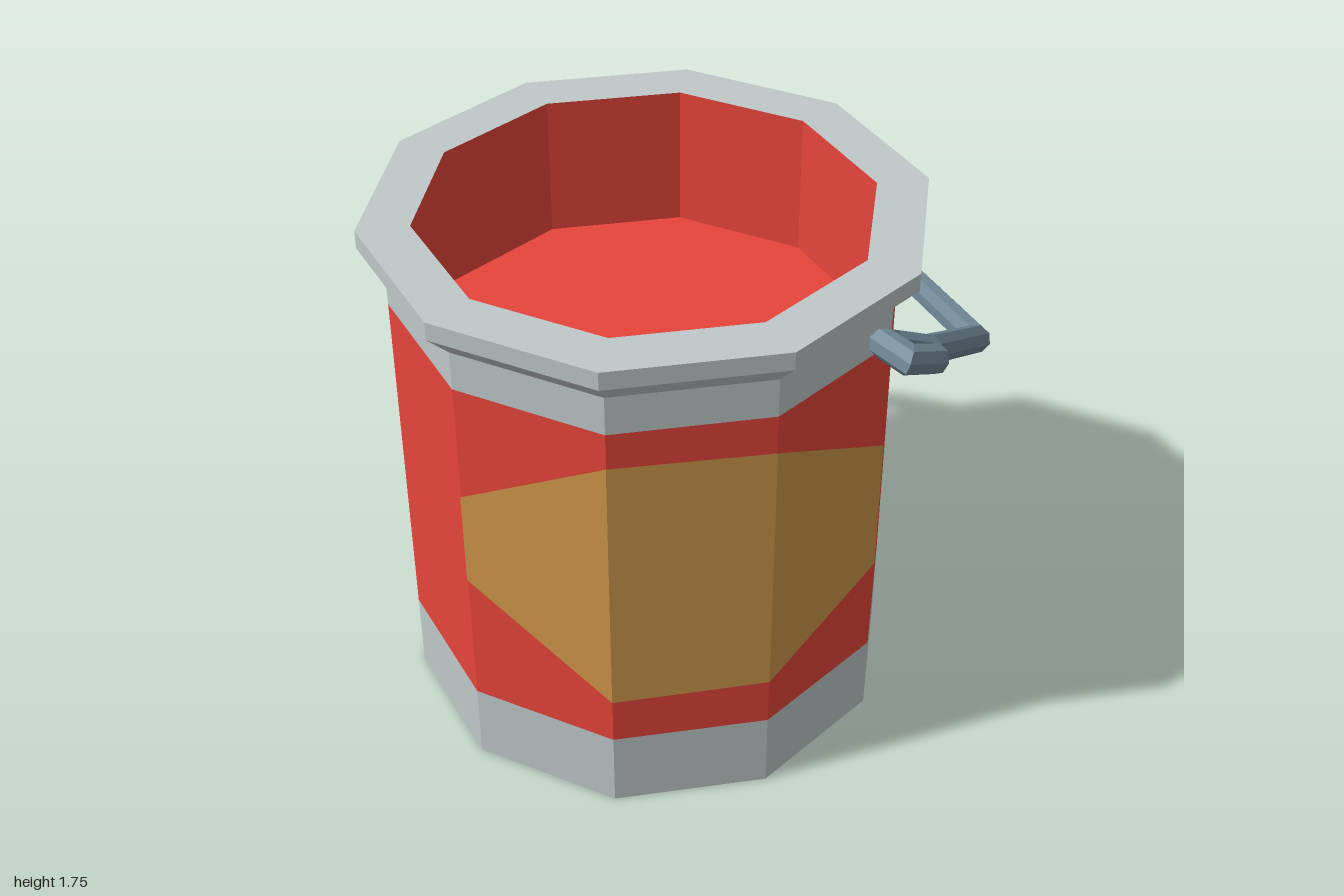
import * as THREE from 'three';

const SIDES = 10;
const FIRST_ANGLE = THREE.MathUtils.degToRad(-2.4); // direction of corner 0, from +x towards +z
const WALL = 0.803, RIM = 0.88, INNER = 0.715;

const paint = (color) => new THREE.MeshStandardMaterial({ color, flatShading: true });
const metal = paint(0xc0c8ca);
const red = paint(0xe6453a);
const gold = paint(0xd0984a);
const teal = paint(0x10b5cb);
const steel = paint(0x708896);

function addMesh(parent, name, geometry, material) {
  const mesh = new THREE.Mesh(geometry, material);
  mesh.name = name;
  parent.add(mesh);
}

// Ten-sided turned part from [radius, height] pairs
function turned(profile) {
  const points = profile.map(([r, y]) => new THREE.Vector2(r, y));
  return new THREE.LatheGeometry(points, SIDES, Math.PI / 2 - FIRST_ANGLE);
}

// Patch lying on the wall; one [bottom, top] pair per wall corner
function wallPatch(firstCorner, heights) {
  const r = WALL + 0.003, positions = [], index = [];
  heights.forEach(([bottom, top], i) => {
    const a = FIRST_ANGLE + (firstCorner + i) * Math.PI * 2 / SIDES;
    const x = r * Math.cos(a), z = r * Math.sin(a);
    positions.push(x, bottom, z, x, top, z);
    if (i > 0) {
      const k = 2 * i - 2;
      index.push(k, k + 1, k + 2, k + 1, k + 3, k + 2);
    }
  });
  return facetted(positions, index);
}

function facetted(positions, index) {
  const geometry = new THREE.BufferGeometry();
  geometry.setAttribute('position', new THREE.Float32BufferAttribute(positions, 3));
  geometry.setIndex(index);
  const flat = geometry.toNonIndexed();
  flat.computeVertexNormals();
  return flat;
}

// Straight rod segments with mitred bends and capped ends
function bentRod(path, radius, sides) {
  const pts = path.map((p) => new THREE.Vector3(...p));
  const dirs = pts.slice(1).map((p, i) => p.clone().sub(pts[i]).normalize());
  const u = new THREE.Vector3(0, 1, 0).cross(dirs[0]).normalize();
  const v = dirs[0].clone().cross(u);
  const positions = [], index = [];
  let ring = [];
  for (let j = 0; j < sides; j++) {
    const a = (j / sides) * Math.PI * 2;
    ring.push(pts[0].clone().addScaledVector(u, radius * Math.cos(a)).addScaledVector(v, radius * Math.sin(a)));
  }
  pts.forEach((p, i) => {
    if (i > 0) {
      // slide the previous ring along the segment to the mitre plane
      const dir = dirs[i - 1];
      const normal = dir.clone().add(dirs[i] ?? dir).normalize();
      ring = ring.map((q) => q.clone().addScaledVector(dir, p.clone().sub(q).dot(normal) / dir.dot(normal)));
    }
    ring.forEach((q, j) => {
      positions.push(q.x, q.y, q.z);
      if (i === 0) return;
      const a = (i - 1) * sides + j, b = (i - 1) * sides + (j + 1) % sides;
      index.push(a, b, a + sides, b, b + sides, a + sides);
    });
  });
  const last = (pts.length - 1) * sides;
  for (let j = 1; j < sides - 1; j++) {
    index.push(0, j + 1, j, last, last + j, last + j + 1);
  }
  return facetted(positions, index);
}

export function createModel() {
  const model = new THREE.Group();
  model.name = 'paintBucket';

  const can = new THREE.Group();
  can.name = 'can';
  can.position.set(-0.036, 0, 0.118);
  model.add(can);

  // Can body
  addMesh(can, 'baseBand', turned([[0, 0], [WALL, 0], [WALL, 0.27]]), metal);
  addMesh(can, 'redWall', turned([[WALL, 0.27], [WALL, 1.48]]), red);
  addMesh(can, 'upperBand', turned([[WALL, 1.48], [WALL, 1.61]]), metal);
  addMesh(can, 'rim', turned([[WALL, 1.61], [RIM, 1.69], [RIM, 1.75], [INNER, 1.75]]), metal);
  addMesh(can, 'innerWallAndPaint', turned([[INNER, 1.75], [INNER, 1.27], [0, 1.27]]), red);

  // Coloured patches
  addMesh(can, 'goldPatch', wallPatch(0, [[0.62, 1.1], [0.44, 1.35], [0.435, 1.36], [0.75, 1.08]]), gold);
  addMesh(can, 'tealPatch', wallPatch(6, [[0.4, 1.335], [0.4, 1.335], [0.4, 1.335], [0.43, 1.335]]), teal);

  // Drooping handle with a hook at each end
  const handlePath = [
    [-0.95, 1.58, -0.34], [-0.95, 1.56, -0.215], [-0.825, 1.55, -0.215],
    [-0.815, 1.43, -0.4], [-0.51, 1.21, -0.775], [-0.04, 1.085, -0.93],
    [0.485, 1.12, -0.795], [0.855, 1.21, -0.435], [0.88, 1.49, 0.07],
    [0.82, 1.58, 0.22], [0.835, 1.635, 0.3], [0.925, 1.64, 0.345], [0.965, 1.585, 0.23],
  ];
  addMesh(model, 'handle', bentRod(handlePath, 0.046, 8), steel);

  return model;
}
